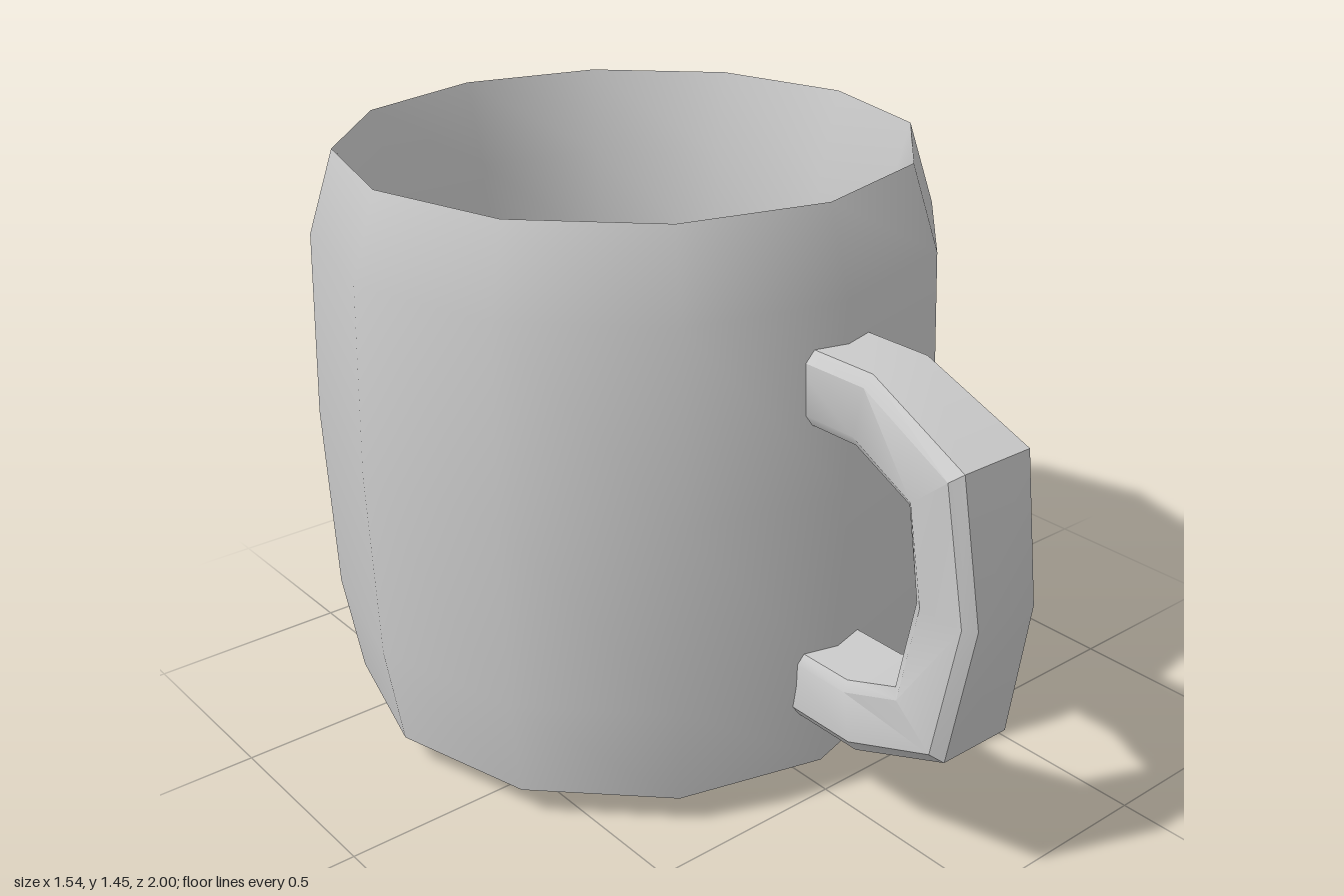
import * as THREE from 'three';
import { toCreasedNormals } from 'three/addons/utils/BufferGeometryUtils.js';

const SIDES = 12;
const CUP_Z = -0.235;

export function createModel() {
  const model = new THREE.Group();
  model.name = 'mug';
  const grey = new THREE.MeshStandardMaterial({ color: 0xcccccc });
  const drink = new THREE.MeshStandardMaterial({ color: 0x6c4444 });

  const add = (name, geometry, material = grey) => {
    const mesh = new THREE.Mesh(geometry, material);
    mesh.name = name;
    model.add(mesh);
    return mesh;
  };
  // Profiles are [radius, height]; separate lathes keep the rim and base edges sharp
  const turned = (name, profile) => {
    const points = profile.map(([r, y]) => new THREE.Vector2(r, y));
    add(name, new THREE.LatheGeometry(points, SIDES)).position.z = CUP_Z;
  };

  turned('base', [[0, 0], [0.5, 0.024], [0.715, 0.075]]);
  turned('outerWall', [[0.715, 0.075], [0.755, 0.33], [0.768, 0.8], [0.75, 1.25], [0.685, 1.45]]);
  turned('innerWall', [[0.685, 1.45], [0.63, 1.24], [0.61, 0.98], [0.58, 0.16], [0, 0.14]]);

  // Drink surface
  const surface = new THREE.CircleGeometry(0.612, SIDES).rotateX(-Math.PI / 2);
  add('drink', surface, drink).position.set(0, 0.98, CUP_Z);

  add('handle', handleGeometry());
  return model;
}

// Handle: a bevelled section swept through stations between an outer and an inner curve
function handleGeometry() {
  // [outer z, outer y, inner z, inner y, half width], top to bottom
  const stations = [
    [0.44, 1.155, 0.44, 0.985, 0.1],
    [0.67, 1.155, 0.635, 0.985, 0.1],
    [0.945, 1.035, 0.81, 0.92, 0.12],
    [1.0, 0.7, 0.835, 0.7, 0.106],
    [0.945, 0.36, 0.8, 0.48, 0.12],
    [0.67, 0.24, 0.64, 0.412, 0.1],
    [0.44, 0.24, 0.44, 0.412, 0.1],
  ];
  // [sideways fraction of the half width, depth fraction from outer to inner]
  const section = [
    [0.8, 0], [1, 0.16], [1, 0.86], [0.85, 1],
    [-0.85, 1], [-1, 0.86], [-1, 0.16], [-0.8, 0],
  ];
  const n = section.length;
  const positions = [];
  const index = [];
  for (const [oz, oy, iz, iy, w] of stations) {
    for (const [s, t] of section) {
      positions.push(s * w, oy + (iy - oy) * t, oz + (iz - oz) * t);
    }
  }
  for (let i = 0; i < stations.length - 1; i++) {
    for (let j = 0; j < n; j++) {
      const a = i * n + j;
      const b = i * n + ((j + 1) % n);
      index.push(a, a + n, b, b, a + n, b + n);
    }
  }
  const geometry = new THREE.BufferGeometry();
  geometry.setAttribute('position', new THREE.Float32BufferAttribute(positions, 3));
  geometry.setIndex(index);
  return toCreasedNormals(geometry, 0.6);
}
